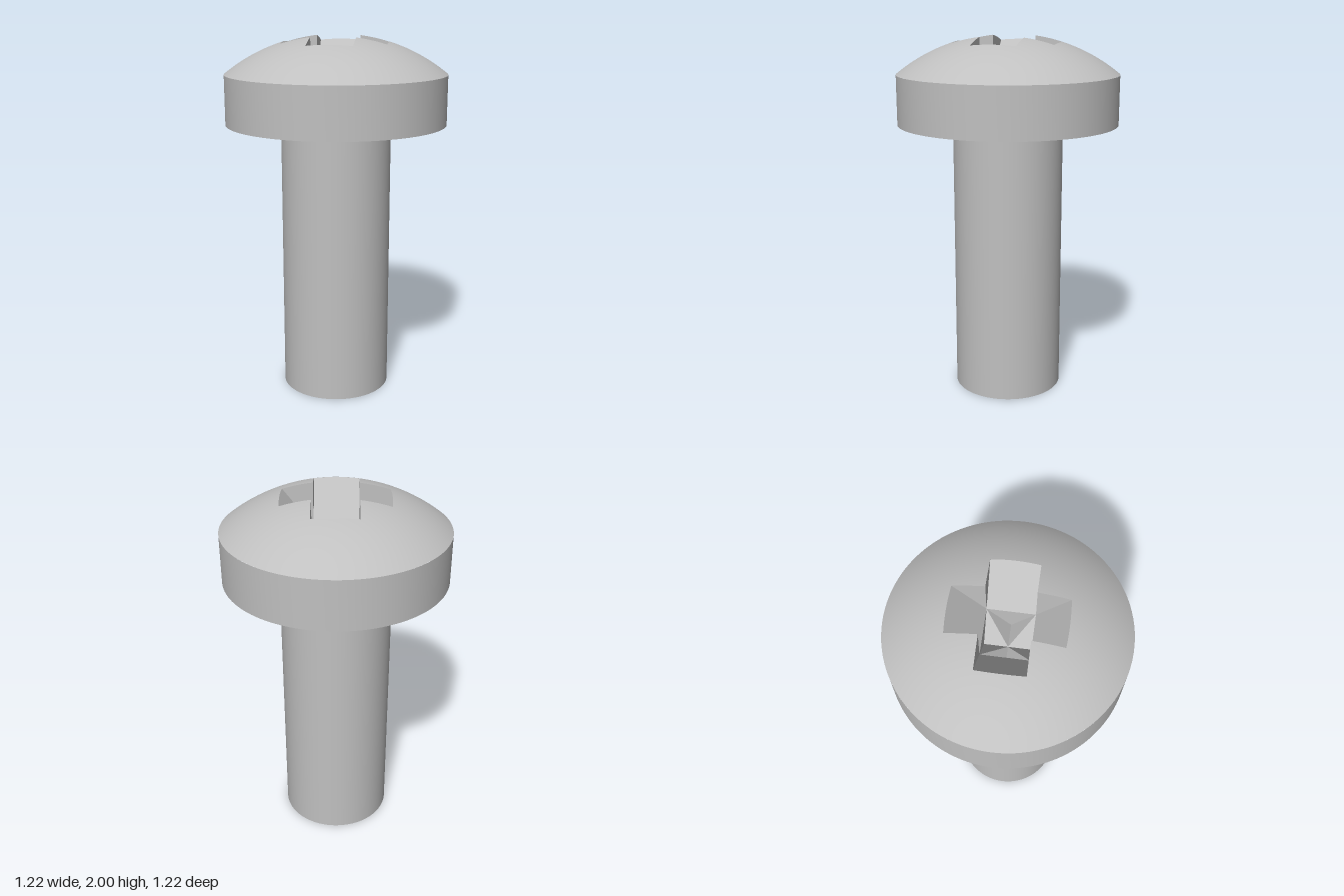
import * as THREE from 'three';
import { toCreasedNormals } from 'three/addons/utils/BufferGeometryUtils.js';

const HEAD_R = 0.608, SHAFT_R = 0.304, HEAD_BOTTOM = 1.53;
const DOME_R = 0.97, APEX = 2.0155;      // sphere that forms the domed top
const HALF = 0.122;                      // half width of a recess arm
const TIP = 1.605, SLOPE = 1.27;         // deepest point and floor slope of the recess

const domeY = (r) => APEX - DOME_R + Math.sqrt(DOME_R * DOME_R - r * r);
const floorY = (u) => TIP + SLOPE * u;
const lerp = THREE.MathUtils.lerp;

// Distance along an arm where its sloping floor meets the dome
function armEnd(w) {
  let u = 0.29;
  for (let i = 0; i < 30; i++) u = lerp(u, (domeY(Math.hypot(u, w)) - TIP) / SLOPE, 0.6);
  return u;
}

// Outline of one arm as [u along the arm, w across it]
const SIDE = 8, ARC = 14;
const end = armEnd(HALF);
const sideU = Array.from({ length: SIDE + 1 }, (_, i) => lerp(HALF, end, i / SIDE));
const tipPts = Array.from({ length: ARC + 1 }, (_, i) => {
  const w = lerp(-HALF, HALF, i / ARC);
  return [armEnd(w), w];
});
const armOutline = [
  ...sideU.slice(0, -1).map((u) => [u, -HALF]),
  ...tipPts,
  ...sideU.slice(1, -1).reverse().map((u) => [u, HALF]),
];

// Point in quarter k of the four-way recess
function place(k, u, y, w) {
  const c = [1, 0, -1, 0][k], s = [0, 1, 0, -1][k];
  return [u * c - w * s, y, u * s + w * c];
}

// Domed top: rings from the cross outline out to the rim, with sphere normals
function domeGeometry() {
  const RINGS = 14, pos = [], nor = [], idx = [];
  const outline = [0, 1, 2, 3].flatMap((k) => armOutline.map(([u, w]) => place(k, u, 0, w)));
  const n = outline.length;
  for (const [x, , z] of outline) {
    const r0 = Math.hypot(x, z);
    for (let j = 0; j <= RINGS; j++) {
      const r = lerp(r0, HEAD_R, j / RINGS), px = x / r0 * r, pz = z / r0 * r, y = domeY(r);
      pos.push(px, y, pz);
      nor.push(px / DOME_R, (y - APEX + DOME_R) / DOME_R, pz / DOME_R);
    }
  }
  for (let i = 0; i < n; i++) {
    for (let j = 0; j < RINGS; j++) {
      const a = i * (RINGS + 1) + j, b = ((i + 1) % n) * (RINGS + 1) + j;
      idx.push(a, b, a + 1, b, b + 1, a + 1);
    }
  }
  const g = new THREE.BufferGeometry();
  g.setAttribute('position', new THREE.Float32BufferAttribute(pos, 3));
  g.setAttribute('normal', new THREE.Float32BufferAttribute(nor, 3));
  g.setIndex(idx);
  return g;
}

// Cross recess: two crossing V-shaped slots, flat shaded
function recessGeometry() {
  const pos = [];
  for (let k = 0; k < 4; k++) {
    const p = (u, y, w) => place(k, u, y, w);
    const tri = (a, b, c) => pos.push(...a, ...b, ...c);
    const quad = (a, b, c, d) => { tri(a, b, c); tri(a, c, d); };
    const low = floorY(HALF);
    // sloping arm floor
    for (let i = 0; i < ARC; i++) {
      const [u0, w0] = tipPts[i], [u1, w1] = tipPts[i + 1];
      quad(p(HALF, low, w0), p(HALF, low, w1), p(u1, floorY(u1), w1), p(u0, floorY(u0), w0));
    }
    // upright arm sides
    for (let i = 0; i < SIDE; i++) {
      const u0 = sideU[i], u1 = sideU[i + 1];
      const y0 = domeY(Math.hypot(u0, HALF)), y1 = domeY(Math.hypot(u1, HALF));
      quad(p(u0, floorY(u0), HALF), p(u0, y0, HALF), p(u1, y1, HALF), p(u1, floorY(u1), HALF));
      quad(p(u0, floorY(u0), -HALF), p(u1, floorY(u1), -HALF), p(u1, y1, -HALF), p(u0, y0, -HALF));
    }
    // upright triangle below the arm floor, then the two facets running to the centre
    const tip = p(0, TIP, 0), mid = p(HALF, TIP, 0);
    const left = p(HALF, low, -HALF), right = p(HALF, low, HALF);
    tri(mid, right, left);
    tri(tip, right, mid);
    tri(tip, mid, left);
  }
  const g = new THREE.BufferGeometry();
  g.setAttribute('position', new THREE.Float32BufferAttribute(pos, 3));
  g.computeVertexNormals();
  return g;
}

export function createModel() {
  const steel = new THREE.MeshStandardMaterial({ color: 0xc0c0c0 });
  steel.name = 'steel grey';
  const group = new THREE.Group();
  group.name = 'screw';
  const add = (name, geometry) => {
    const m = new THREE.Mesh(geometry, steel);
    m.name = name;
    group.add(m);
    return m;
  };

  // Plain shaft
  add('shaft', new THREE.CylinderGeometry(SHAFT_R, SHAFT_R, HEAD_BOTTOM, 96)).position.y = HEAD_BOTTOM / 2;

  // Underside and side of the head
  const rim = [[SHAFT_R, HEAD_BOTTOM], [HEAD_R, HEAD_BOTTOM], [HEAD_R, domeY(HEAD_R)]]
    .map(([x, y]) => new THREE.Vector2(x, y));
  add('headRim', toCreasedNormals(new THREE.LatheGeometry(rim, 128), 0.6));

  // Dome and recess share the slight turn of the cross
  const turn = THREE.MathUtils.degToRad(5.5);
  add('headDome', domeGeometry()).rotation.y = turn;
  add('crossRecess', recessGeometry()).rotation.y = turn;
  return group;
}
